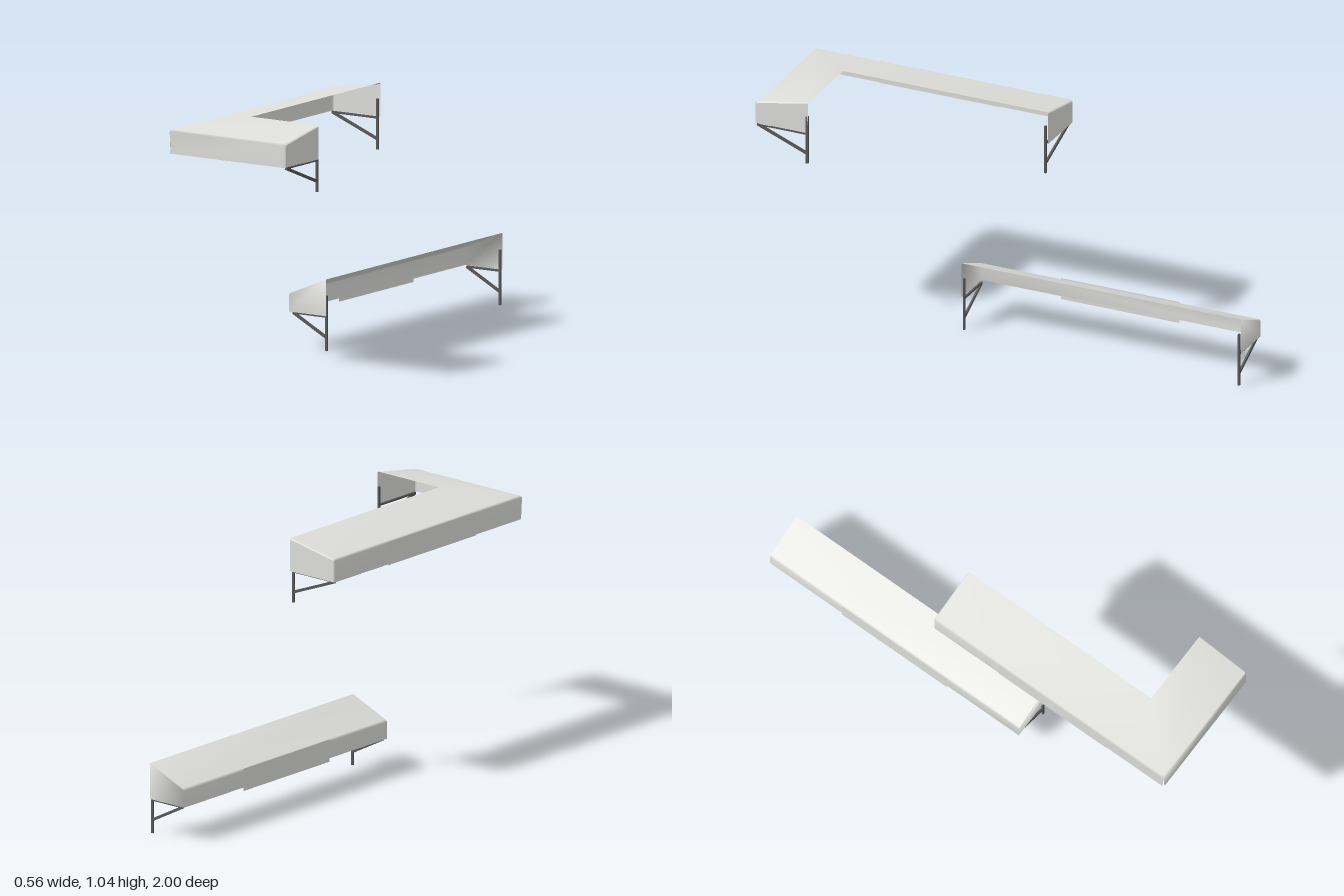
import * as THREE from 'three';

const canvas = new THREE.MeshStandardMaterial({ color: 0xdededb, side: THREE.DoubleSide });
canvas.name = 'light canvas';
const metal = new THREE.MeshStandardMaterial({ color: 0x585858 });
metal.name = 'dark metal';

// Awning skin: profile [distance from wall, height] swept along stations.
// A station is { x, z, dx, dz, inset, slit }: wall point, outward direction, rim inset, corner slit.
function awningSkin(profile, stations, wallBottom, weldEnds) {
  const pos = [], idx = [], n = profile.length;
  const add = (x, y, z) => pos.push(x, y, z) / 3 - 1;
  const rows = stations.map((s) => {
    const inset = s.inset || 0, slit = s.slit || 0;
    const row = profile.map(([d, y], j) => {
      const e = Math.max(0, d - inset), last = j === n - 1;
      return add(s.x + s.dx * e, last ? y : y - inset, s.z + s.dz * e - (last ? slit : 0));
    });
    const next = row.slice();
    if (slit) {
      const d = profile[n - 1][0];
      next[n - 1] = add(s.x + s.dx * d + slit, profile[n - 1][1], s.z + s.dz * d);
    }
    return { row, next };
  });
  for (let i = 0; i < rows.length - 1; i++) {
    const p = rows[i].next, q = rows[i + 1].row;
    for (let j = 0; j < n - 1; j++) idx.push(p[j], p[j + 1], q[j], p[j + 1], q[j + 1], q[j]);
  }
  // closed end panels
  const cap = (station, row, flip) => {
    const ring = weldEnds ? row.slice() : row.map((k) => add(pos[k * 3], pos[k * 3 + 1], pos[k * 3 + 2]));
    ring.push(add(station.x, wallBottom, station.z));
    for (let j = 1; j < ring.length - 1; j++) {
      if (flip) idx.push(ring[0], ring[j + 1], ring[j]);
      else idx.push(ring[0], ring[j], ring[j + 1]);
    }
  };
  cap(stations[0], rows[0].row, true);
  cap(stations[stations.length - 1], rows[rows.length - 1].row, false);

  const geo = new THREE.BufferGeometry();
  geo.setAttribute('position', new THREE.Float32BufferAttribute(pos, 3));
  geo.setIndex(idx);
  geo.computeVertexNormals();
  return geo;
}

// Square bar between two points of the bracket plane (u = outwards, y = up)
function bar(name, u0, y0, u1, y1, t) {
  const len = Math.hypot(u1 - u0, y1 - y0);
  const mesh = new THREE.Mesh(new THREE.BoxGeometry(len, t, 0.008), metal);
  mesh.name = name;
  mesh.position.set((u0 + u1) / 2, (y0 + y1) / 2, 0);
  mesh.rotation.z = Math.atan2(y1 - y0, u1 - u0);
  return mesh;
}

// Wall bracket: post, arm and diagonal brace
function bracket(name, x, z, turn, reach, foot, arm, top, braceY) {
  const g = new THREE.Group();
  g.name = name;
  g.add(
    bar('post', 0.005, foot, 0.005, top, 0.01),
    bar('arm', 0.005, arm, reach, arm, 0.008),
    bar('brace', 0.005, braceY, reach, arm, 0.011),
  );
  g.position.set(x, 0, z);
  g.rotation.y = turn;
  return g;
}

// Thin sign plate facing -x
function signPlate(name, x, z0, z1, y0, y1) {
  const mesh = new THREE.Mesh(new THREE.PlaneGeometry(z1 - z0, y1 - y0), canvas);
  mesh.name = name;
  mesh.rotation.y = -Math.PI / 2;
  mesh.position.set(x, (y0 + y1) / 2, (z0 + z1) / 2);
  return mesh;
}

export function createModel() {
  const model = new THREE.Group();
  model.name = 'awnings';
  const wall = -0.047, front = 0.763;

  // Upper awning, wrapping the corner
  const upper = new THREE.Group();
  upper.name = 'upperAwning';
  const side = { x: wall, dx: -1, dz: 0 };
  const face = { z: front, dx: 0, dz: 1 };
  const upperSkin = new THREE.Mesh(awningSkin(
    [[0, 1.036], [0.228, 0.995], [0.235, 0.987], [0.235, 0.897]],
    [
      { ...side, z: -0.145, inset: 0.006 },
      { ...side, z: -0.139 },
      { x: wall, z: front, dx: -1, dz: 1, slit: 0.006 },
      { ...face, x: 0.275 },
      { ...face, x: 0.281, inset: 0.006 },
    ], 0.897, false), canvas);
  upperSkin.name = 'upperCanopy';
  upper.add(
    upperSkin,
    signPlate('upperSign', -0.2835, 0.18, 0.715, 0.894, 0.991),
    bracket('backBracket', wall, -0.131, Math.PI, 0.226, 0.765, 0.895, 0.972, 0.808),
    bracket('frontBracket', 0.277, front, -Math.PI / 2, 0.226, 0.765, 0.895, 0.972, 0.808),
  );

  // Lower straight awning
  const lower = new THREE.Group();
  lower.name = 'lowerAwning';
  const lowerSkin = new THREE.Mesh(awningSkin(
    [[0, 0.293], [0.173, 0.222], [0.181, 0.213], [0.181, 0.143]],
    [{ ...side, z: -1 }, { ...side, z: 0.238 }], 0.143, true), canvas);
  lowerSkin.name = 'lowerCanopy';
  lower.add(
    lowerSkin,
    signPlate('lowerSign', -0.2295, -0.64, -0.115, 0.129, 0.222),
    bracket('backBracket', wall, -0.99, Math.PI, 0.166, 0, 0.14, 0.225, 0.055),
    bracket('frontBracket', wall, 0.229, Math.PI, 0.166, 0, 0.14, 0.225, 0.055),
  );

  model.add(upper, lower);
  return model;
}
